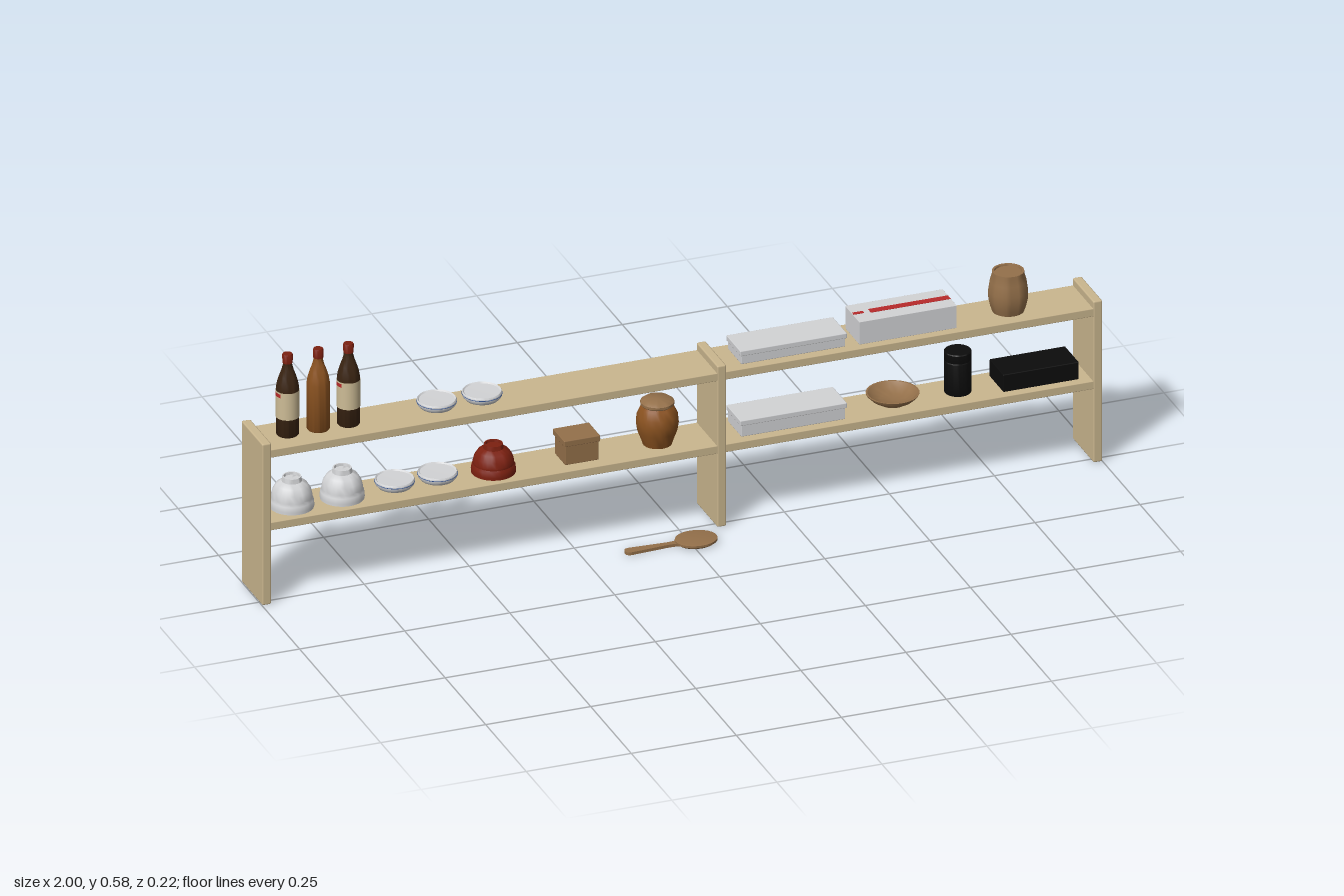
import * as THREE from 'three';
import { RoundedBoxGeometry } from 'three/addons/geometries/RoundedBoxGeometry.js';
import { toCreasedNormals } from 'three/addons/utils/BufferGeometryUtils.js';

const COLORS = {
  wood: 0xcab68e, darkRed: 0x7c2010, darkGlass: 0x3a2412, amber: 0x8a5220, cream: 0xcdbc96,
  porcelain: 0xd2d3d5, brown: 0x94704a, black: 0x0c0c0c, red: 0xb82a2a, blue: 0x3a5a9a,
};
const LOW = 0.202, HIGH = 0.382, Z = -0.045; // shelf surfaces and centre line

export function createModel() {
  const root = new THREE.Group();
  const mats = {};
  for (const [name, color] of Object.entries(COLORS)) {
    mats[name] = new THREE.MeshStandardMaterial({ color });
    mats[name].name = name;
  }
  const thin = (name) => {
    mats[name].side = THREE.DoubleSide;
    return mats[name];
  };

  function add(name, geo, mat, x, y, z = Z, parent = root) {
    const mesh = new THREE.Mesh(geo, mats[mat]);
    mesh.name = name;
    mesh.position.set(x, y, z);
    parent.add(mesh);
    return mesh;
  }
  // box standing on y
  const box = (name, mat, x, y, w, h, d, z = Z, r = 0.002) =>
    add(name, new RoundedBoxGeometry(w, h, d, 1, r), mat, x, y + h / 2, z);
  // turned shape from [radius, height] pairs, bottom to top
  function turned(name, mat, x, y, points, parent = root, z = Z) {
    const geo = new THREE.LatheGeometry(points.map(([r, h]) => new THREE.Vector2(r, h)), 28);
    return add(name, toCreasedNormals(geo, 0.7), mat, x, y, z, parent);
  }

  // rack: three uprights and two shelves in each bay
  const uprights = [-0.989, 0.094, 0.989];
  for (const x of uprights) box('upright', 'wood', x, 0, 0.022, 0.4, 0.13, Z, 0.004);
  for (let i = 0; i < 2; i++) {
    const a = uprights[i] + 0.009, b = uprights[i + 1] - 0.009;
    for (const top of [LOW, HIGH])
      box('shelf', 'wood', (a + b) / 2, top - 0.02, b - a, 0.02, 0.126);
  }

  // bottles
  [-0.915, -0.842, -0.77].forEach((x, i) => {
    const bottle = new THREE.Group();
    bottle.name = 'bottle';
    bottle.position.set(x, HIGH, Z);
    root.add(bottle);
    turned('bottleGlass', i === 1 ? 'amber' : 'darkGlass', 0, 0, [
      [0, 0], [0.024, 0], [0.026, 0.003], [0.026, 0.115], [0.0235, 0.13],
      [0.019, 0.145], [0.0135, 0.16], [0.0105, 0.172], [0.0105, 0.18], [0, 0.18],
    ], bottle, 0);
    turned('bottleCap', 'darkRed', 0, 0, [
      [0, 0.177], [0.0115, 0.177], [0.012, 0.196], [0.0105, 0.199], [0, 0.199],
    ], bottle, 0);
    if (i === 1) return;
    thin('cream');
    add('bottleLabel', new THREE.CylinderGeometry(0.0266, 0.0266, 0.066, 28, 1, true), 'cream', 0, 0.078, 0, bottle);
    for (const side of [1, -1]) {
      const stripe = new THREE.CylinderGeometry(0.027, 0.027, 0.009, 12, 1, true, side * Math.PI / 2 - 0.6, 1.2);
      add('labelStripe', stripe, 'red', 0, 0.103, 0, bottle);
    }
  });

  // shallow dishes on both shelves
  const dish = [
    [0, 0], [0.026, 0], [0.028, 0.004], [0.038, 0.006], [0.044, 0.013],
    [0.045, 0.022], [0.043, 0.025], [0.04, 0.022], [0, 0.021],
  ];
  for (const [x, y] of [[-0.56, HIGH], [-0.452, HIGH], [-0.66, LOW], [-0.558, LOW]]) {
    turned('dish', 'porcelain', x, y, dish);
    const line = new THREE.TorusGeometry(0.045, 0.0008, 4, 28).rotateX(Math.PI / 2);
    add('dishLine', line, 'blue', x, y + 0.019);
  }

  // upturned bowls, stacked two high
  const upturned = [
    [0, 0], [0.05, 0], [0.0505, 0.006], [0.049, 0.018], [0.046, 0.023], [0.0465, 0.027],
    [0.043, 0.042], [0.035, 0.055], [0.023, 0.063], [0.021, 0.074], [0.018, 0.074], [0.017, 0.068], [0, 0.068],
  ];
  for (const x of [-0.905, -0.785]) turned('upturnedBowl', 'porcelain', x, LOW, upturned);
  turned('redBowl', 'darkRed', -0.425, LOW, upturned.map(([r, h]) => [r, h * 0.93]));

  // small wooden chest with a lid
  box('chest', 'brown', -0.227, LOW, 0.08, 0.047, 0.066);
  box('chestLid', 'brown', -0.227, LOW + 0.046, 0.086, 0.015, 0.071);

  // glazed jar with a plain collar and lid
  turned('jar', 'amber', -0.035, LOW, [
    [0, 0], [0.033, 0], [0.036, 0.01], [0.045, 0.034], [0.048, 0.054], [0.046, 0.072],
    [0.038, 0.09], [0.033, 0.096], [0, 0.096],
  ]);
  turned('jarLid', 'brown', -0.035, LOW, [
    [0, 0.093], [0.032, 0.093], [0.038, 0.098], [0.038, 0.104], [0.03, 0.11], [0, 0.111],
  ]);

  // long pale boxes with overhanging lids
  for (const [y, h] of [[LOW, 0.041], [HIGH, 0.034]]) {
    box('longBox', 'porcelain', 0.273, y, 0.248, h - 0.008, 0.083);
    box('longBoxLid', 'porcelain', 0.273, y + h - 0.013, 0.254, 0.013, 0.088);
  }

  // printed carton
  box('carton', 'porcelain', 0.545, HIGH, 0.232, 0.056, 0.088, Z, 0.001);
  const plate = (name, mat, x, y, z, w, h, d) => add(name, new THREE.BoxGeometry(w, h, d), mat, x, y, z);
  plate('cartonTopStripe', 'red', 0.565, HIGH + 0.056, Z, 0.19, 0.0015, 0.018);
  plate('cartonTopMark', 'red', 0.443, HIGH + 0.056, Z, 0.025, 0.0015, 0.01);
  plate('cartonBackStripe', 'red', 0.545, HIGH + 0.014, Z - 0.044, 0.2, 0.006, 0.0015);
  plate('cartonBackLine', 'blue', 0.545, HIGH + 0.007, Z - 0.044, 0.22, 0.003, 0.0015);

  // shallow wooden bowl
  turned('woodenBowl', 'brown', 0.525, LOW, [
    [0, 0], [0.03, 0], [0.032, 0.004], [0.048, 0.011], [0.059, 0.022], [0.06, 0.025],
    [0.056, 0.025], [0.045, 0.015], [0.028, 0.008], [0, 0.006],
  ]);

  // black canister and black case
  turned('canister', 'black', 0.68, LOW, [
    [0, 0], [0.03, 0], [0.031, 0.002], [0.031, 0.078], [0.0295, 0.08], [0.031, 0.082],
    [0.031, 0.1], [0.029, 0.102], [0, 0.102],
  ]);
  box('blackCase', 'black', 0.862, LOW, 0.18, 0.043, 0.086);

  // stoneware pot
  turned('stonePot', 'brown', 0.8, HIGH, [
    [0, 0], [0.036, 0], [0.04, 0.012], [0.0445, 0.032], [0.0445, 0.05], [0.041, 0.074],
    [0.0365, 0.09], [0.036, 0.098], [0.031, 0.098], [0.03, 0.094], [0, 0.094],
  ]);

  // ladle lying on the floor: flat oval head and a handle that widens to its end
  const ladle = new THREE.Group();
  ladle.name = 'ladle';
  root.add(ladle);
  const head = turned('ladleHead', 'brown', 0.013, 0, [
    [0, 0], [0.034, 0], [0.04, 0.005], [0.04, 0.01], [0.036, 0.011], [0, 0.0095],
  ], ladle, 0.07);
  head.scale.x = 1.22;
  const outline = new THREE.Shape();
  outline.moveTo(-0.02, -0.011);
  outline.quadraticCurveTo(-0.04, -0.006, -0.06, -0.007);
  outline.lineTo(-0.143, -0.012);
  outline.quadraticCurveTo(-0.156, -0.012, -0.156, 0);
  outline.quadraticCurveTo(-0.156, 0.012, -0.143, 0.012);
  outline.lineTo(-0.06, 0.007);
  outline.quadraticCurveTo(-0.04, 0.006, -0.02, 0.011);
  const handle = new THREE.ExtrudeGeometry(outline, { depth: 0.007, bevelEnabled: false, curveSegments: 6 });
  add('ladleHandle', handle.rotateX(-Math.PI / 2), 'brown', 0, 0.0005, 0.068, ladle);

  return root;
}
